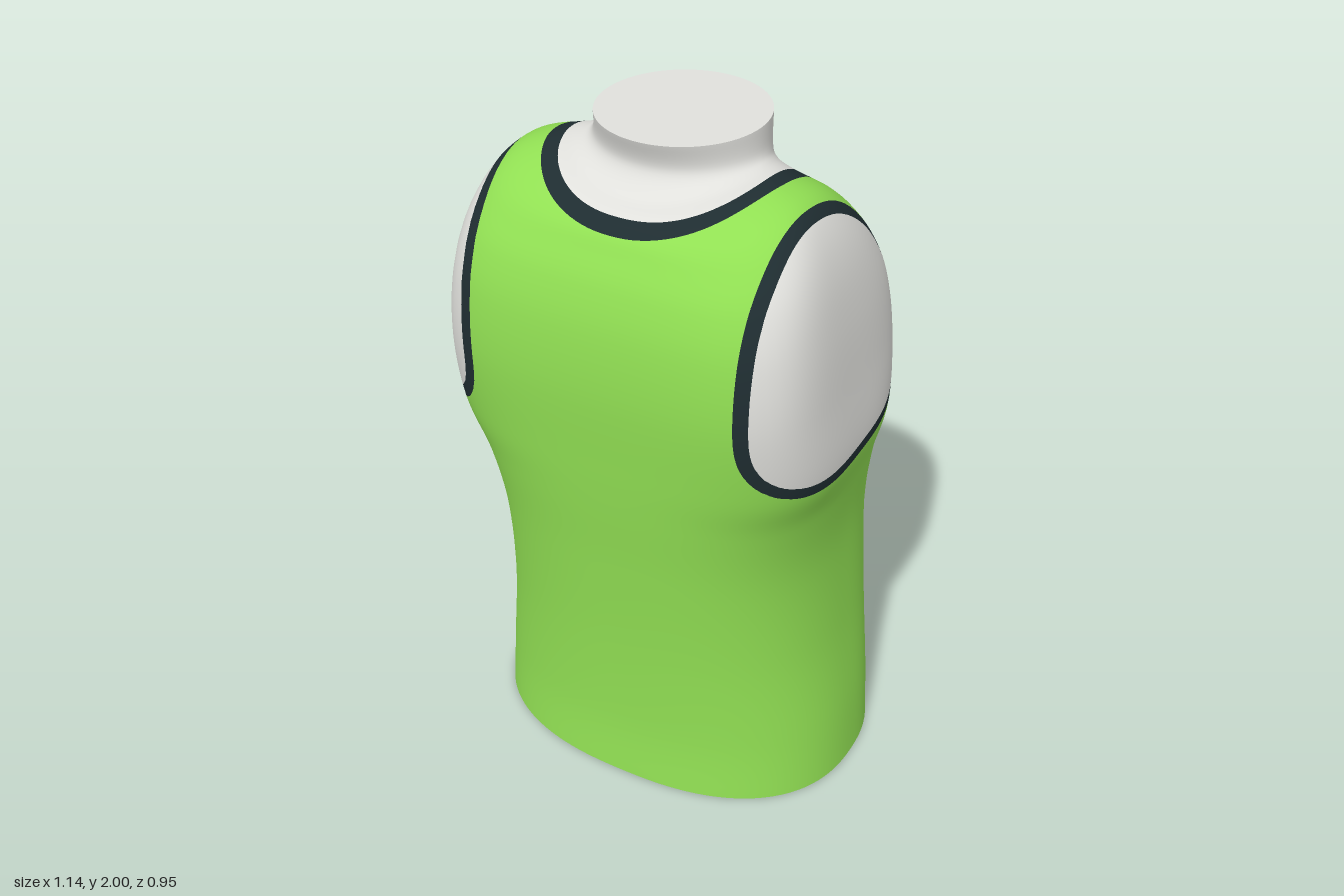
import * as THREE from 'three';

// Horizontal rings of the torso, from hem to neck:
// [half width, z of widest point, side y, front z, front y, back z, back y, front squareness, back squareness]
const RINGS = [
  [0.57, -0.03, 0, 0.395, 0, -0.445, 0, 2.4, 2.3],
  [0.555, -0.03, 0.2, 0.385, 0.2, -0.455, 0.2, 2.4, 2.3],
  [0.52, -0.03, 0.5, 0.395, 0.5, -0.468, 0.5, 2.5, 2.4],
  [0.505, -0.02, 0.8, 0.42, 0.8, -0.465, 0.8, 2.7, 2.4],
  [0.525, 0, 1.02, 0.445, 1.02, -0.455, 1.02, 3, 2.5],
  [0.557, 0.03, 1.18, 0.46, 1.18, -0.447, 1.18, 3.5, 2.8],
  [0.543, 0.05, 1.4, 0.475, 1.4, -0.425, 1.38, 4.3, 3.2],
  [0.525, 0.07, 1.58, 0.465, 1.57, -0.39, 1.52, 4.3, 3.2],
  [0.497, 0.1, 1.72, 0.435, 1.69, -0.35, 1.6, 3.9, 3],
  [0.455, 0.12, 1.82, 0.395, 1.77, -0.31, 1.65, 3.3, 2.8],
  [0.4, 0.12, 1.88, 0.365, 1.815, -0.28, 1.68, 2.7, 2.5],
  [0.31, 0.11, 1.91, 0.32, 1.845, -0.255, 1.71, 2.3, 2.2],
  [0.255, 0.06, 1.915, 0.26, 1.87, -0.235, 1.75, 2, 2],
  [0.232, 0.02, 1.935, 0.215, 1.925, -0.215, 1.82, 2, 2],
  [0.225, 0.005, 2, 0.235, 2, -0.225, 2, 2, 2],
];
const SIDES = 120, STEPS = 7, TRIM = 0.041;

// Smooth blend of the ring values (Catmull-Rom)
function ringAt(u) {
  const last = RINGS.length - 1;
  const i = Math.min(Math.floor(u), last - 1), t = u - i;
  const row = (k) => RINGS[Math.max(0, Math.min(last, k))];
  return row(i).map((b, c) => {
    const a = row(i - 1)[c], d = row(i + 1)[c], e = row(i + 2)[c];
    return b + 0.5 * t * (d - a + t * (2 * a - 5 * b + 4 * d - e + t * (3 * (b - d) + e - a)));
  });
}

function ringPoint(ring, angle) {
  const [w, zc, ySide, zf, yf, zb, yb, nf, nb] = ring;
  const c = Math.cos(angle), s = Math.sin(angle);
  const n = s > 0 ? nf : nb;
  const r = (Math.abs(c) ** n + Math.abs(s) ** n) ** (-1 / n);
  const k = s * r;
  const z = zc + k * (s > 0 ? zf - zc : zc - zb);
  return new THREE.Vector3(w * c * r, ySide + ((s > 0 ? yf : yb) - ySide) * k * k, z);
}

// Closed ring-by-ring surface with shared vertices
function torsoSurface() {
  const rows = (RINGS.length - 1) * STEPS, points = [], index = [];
  for (let i = 0; i <= rows; i++) {
    const ring = ringAt(i / STEPS);
    for (let j = 0; j < SIDES; j++) points.push(ringPoint(ring, (j / SIDES) * Math.PI * 2));
  }
  for (let i = 0; i < rows; i++) {
    for (let j = 0; j < SIDES; j++) {
      const a = i * SIDES + j, b = i * SIDES + ((j + 1) % SIDES);
      index.push(a, a + SIDES, b, b, a + SIDES, b + SIDES);
    }
  }
  const geometry = new THREE.BufferGeometry().setFromPoints(points);
  geometry.setIndex(index);
  geometry.computeVertexNormals();
  return geometry;
}

// Distance outside the nearest opening (negative inside an armhole or the neckline)
function openingDistance(p, n) {
  // Armhole: an upright cut, leaning outward to the back and curving out under the arm
  const t = Math.max(0, (1.45 - p.y) / 0.3);
  const cut = 0.42 - 0.085 * p.z + 0.155 * t ** 4;
  const slope = new THREE.Vector3(-1, -0.155 * 4 / 0.3 * t ** 3, -0.085);
  const normal = new THREE.Vector3(Math.abs(p.x) === p.x ? n.x : -n.x, n.y, n.z);
  slope.addScaledVector(normal, -slope.dot(normal));
  const arm = (cut - Math.abs(p.x)) / Math.max(slope.length(), 0.3);
  // Neckline: a rounded opening seen from above
  const e = 2.3;
  const r = (Math.abs(p.x / 0.33) ** e + Math.abs((p.z - 0.03) / 0.34) ** e) ** (1 / e);
  return Math.min(arm, (r - 1) * 0.335);
}

// Keep the part of a polygon on one side of a distance level
function clip(poly, level, sign) {
  const out = [];
  poly.forEach((a, i) => {
    const b = poly[(i + 1) % poly.length];
    const da = (a.d - level) * sign, db = (b.d - level) * sign;
    if (da >= 0) out.push(a);
    if ((da >= 0) !== (db >= 0)) {
      const t = da / (da - db);
      out.push({ p: a.p.clone().lerp(b.p, t), n: a.n.clone().lerp(b.n, t).normalize(), d: level });
    }
  });
  return out;
}

// Part of the surface between two distances from the openings
function band(surface, low, high) {
  const pos = surface.getAttribute('position'), nor = surface.getAttribute('normal');
  const verts = [];
  for (let i = 0; i < pos.count; i++) {
    const p = new THREE.Vector3().fromBufferAttribute(pos, i);
    const n = new THREE.Vector3().fromBufferAttribute(nor, i);
    verts.push({ p, n, d: openingDistance(p, n) });
  }
  const positions = [], normals = [], idx = surface.index.array;
  for (let i = 0; i < idx.length; i += 3) {
    let poly = [verts[idx[i]], verts[idx[i + 1]], verts[idx[i + 2]]];
    poly = clip(clip(poly, low, 1), high, -1);
    for (let k = 1; k + 1 < poly.length; k++) {
      for (const v of [poly[0], poly[k], poly[k + 1]]) {
        positions.push(v.p.x, v.p.y, v.p.z);
        normals.push(v.n.x, v.n.y, v.n.z);
      }
    }
  }
  const geometry = new THREE.BufferGeometry();
  geometry.setAttribute('position', new THREE.Float32BufferAttribute(positions, 3));
  geometry.setAttribute('normal', new THREE.Float32BufferAttribute(normals, 3));
  return geometry;
}

// Flat lid over the first or last ring
function lid(ring, facingUp) {
  const points = [new THREE.Vector3(0, ring[2], ring[1])], index = [];
  for (let j = 0; j < SIDES; j++) {
    points.push(ringPoint(ring, (j / SIDES) * Math.PI * 2));
    const a = 1 + j, b = 1 + ((j + 1) % SIDES);
    index.push(0, ...(facingUp ? [b, a] : [a, b]));
  }
  const geometry = new THREE.BufferGeometry().setFromPoints(points);
  geometry.setIndex(index);
  geometry.computeVertexNormals();
  return geometry;
}

// Thin angular patch on the lower back
function backPatch() {
  const outline = [[0.1, 0.86], [-0.09, 0.855], [-0.125, 0.81], [-0.15, 0.735], [-0.055, 0.78], [0.01, 0.725]];
  const shape = new THREE.Shape(outline.map(([x, y]) => new THREE.Vector2(x, y)));
  return new THREE.ExtrudeGeometry(shape, { depth: 0.009, bevelEnabled: false }).translate(0, 0, -0.475);
}

function material(name, color) {
  const m = new THREE.MeshStandardMaterial({ color });
  m.name = name;
  return m;
}

export function createModel() {
  const group = new THREE.Group();
  group.name = 'tankTopTorso';
  const green = material('green fabric', 0x91df53);
  const olive = material('olive underside', 0x4f6a2b);
  const dark = material('dark trim', 0x1f2d31);
  const grey = material('grey body', 0xe0e0dc);
  const add = (name, geometry, mat) => {
    const mesh = new THREE.Mesh(geometry, mat);
    mesh.name = name;
    group.add(mesh);
  };

  const surface = torsoSurface();
  add('shirt', band(surface, 0, 100), green);
  add('neckAndArmholeTrim', band(surface, -TRIM, 0), dark);
  add('neckAndShoulders', band(surface, -100, -TRIM), grey);
  add('neckTop', lid(RINGS[RINGS.length - 1], true), grey);
  add('shirtBottom', lid(RINGS[0], false), olive);
  add('backPatch', backPatch(), dark);
  return group;
}
